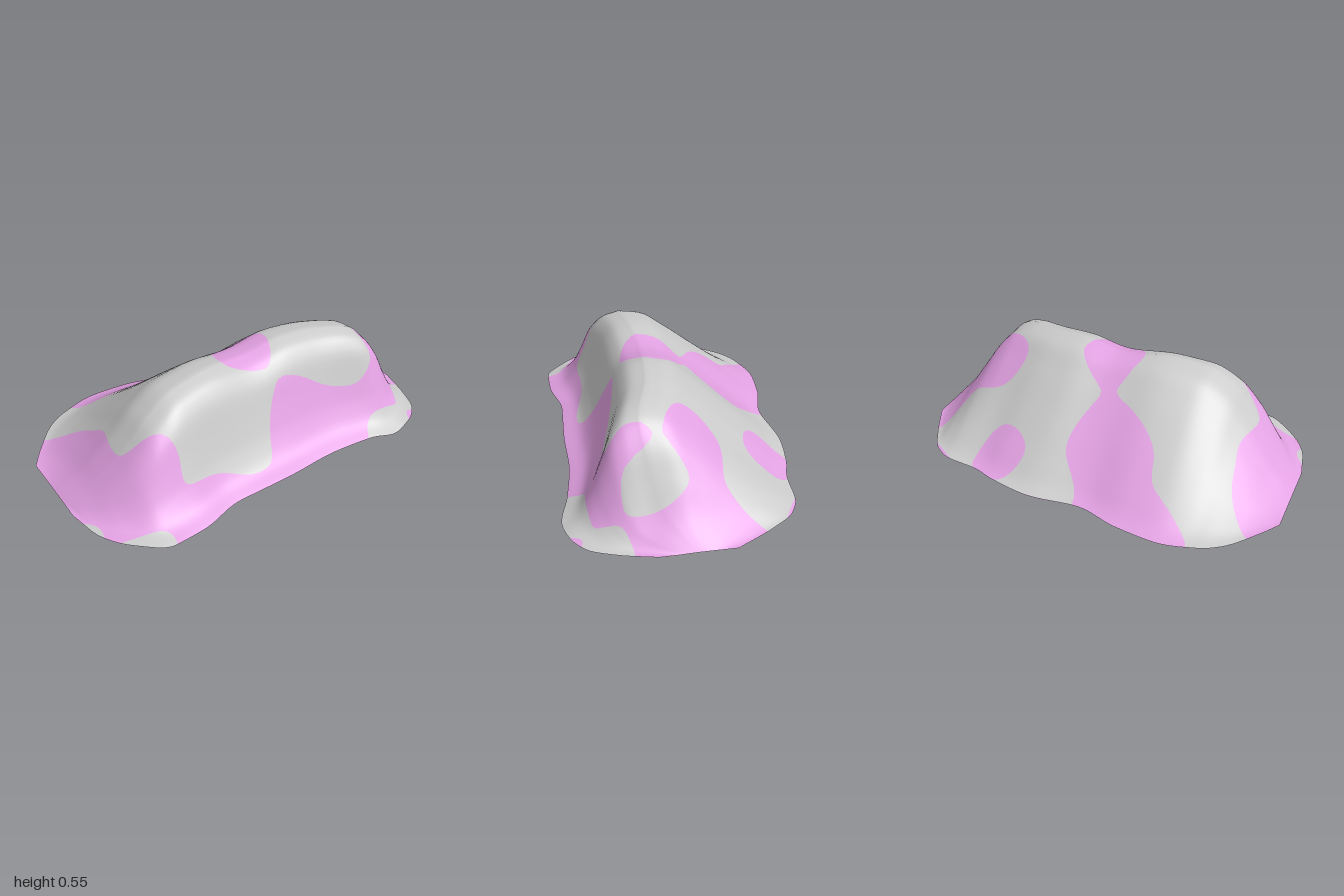
import * as THREE from 'three';

// Smooth lookup through [x, y] points (cubic Hermite with clamped slopes).
function curve(points) {
  const n = points.length;
  const step = (i) => (points[i + 1][1] - points[i][1]) / (points[i + 1][0] - points[i][0]);
  const slope = points.map((_, i) => {
    if (i === 0) return step(0);
    if (i === n - 1) return step(n - 2);
    const a = step(i - 1), b = step(i);
    return a * b <= 0 ? 0 : (2 * a * b) / (a + b);
  });
  return (x) => {
    let i = 0;
    while (i < n - 2 && x > points[i + 1][0]) i++;
    const [x0, y0] = points[i], [x1, y1] = points[i + 1];
    const w = x1 - x0, t = THREE.MathUtils.clamp((x - x0) / w, 0, 1);
    const t2 = t * t, t3 = t2 * t;
    return (2 * t3 - 3 * t2 + 1) * y0 + (t3 - 2 * t2 + t) * w * slope[i]
      + (3 * t2 - 2 * t3) * y1 + (t3 - t2) * w * slope[i + 1];
  };
}

// Plan outline, back and front edges along x.
const backZ = curve([[-1, -0.25], [-0.93, -0.35], [-0.8, -0.5], [-0.7, -0.56], [-0.5, -0.61],
  [-0.3, -0.595], [-0.08, -0.545], [0.2, -0.575], [0.4, -0.55], [0.55, -0.51], [0.7, -0.5],
  [0.81, -0.45], [0.9, -0.33], [1, -0.15]]);
const frontZ = curve([[-1, 0.17], [-0.96, 0.35], [-0.85, 0.5], [-0.7, 0.6], [-0.55, 0.595],
  [-0.3, 0.54], [0, 0.545], [0.25, 0.535], [0.52, 0.56], [0.68, 0.595], [0.8, 0.57],
  [0.9, 0.5], [0.96, 0.36], [1, 0.2]]);
// Crest: where it lies and how high it stands.
const crestZ = curve([[-1, 0], [-0.85, 0.13], [-0.65, 0.2], [-0.4, 0.17], [0, 0.13],
  [0.35, 0.15], [0.65, 0.22], [0.85, 0.16], [1, 0.04]]);
const crestY = curve([[-1, 0.02], [-0.9, 0.1], [-0.8, 0.21], [-0.7, 0.33], [-0.6, 0.44],
  [-0.45, 0.52], [-0.25, 0.54], [0, 0.515], [0.22, 0.55], [0.5, 0.53], [0.62, 0.5],
  [0.72, 0.42], [0.8, 0.3], [0.9, 0.14], [1, 0.02]]);
// Share of the height across the long back slope and the steep, flared front.
const backRise = curve([[0, 0], [0.06, 0.03], [0.2, 0.18], [0.45, 0.49], [0.7, 0.8],
  [0.86, 0.965], [1, 1]]);
const frontFall = curve([[0, 1], [0.2, 0.95], [0.35, 0.82], [0.5, 0.51], [0.62, 0.28],
  [0.8, 0.08], [1, 0]]);

const bump = (dx, dy, dz, r) => Math.exp(-(dx * dx + dy * dy + dz * dz) / (r * r));

// Point of the mound: x along its length, v from -1 (back edge) to 1 (front edge).
function surface(x, v) {
  const crest = crestZ(x);
  const z = v < 0 ? THREE.MathUtils.lerp(crest, backZ(x), -v) : THREE.MathUtils.lerp(crest, frontZ(x), v);
  const share = v < 0 ? backRise(1 + v) : frontFall(v);
  let y = 0.018 + (crestY(x) - 0.018) * share;
  y -= 0.05 * share * bump(x - 0.84, 0, z - 0.24, 0.12); // gully on the end
  y += 0.05 * share * bump(x - 0.68, 0, z - 0.44, 0.09); // buttress beside it
  y -= 0.015 * bump(x - 0.68, 0, z - 0.59, 0.08); // toe touching the ground
  return new THREE.Vector3(x, y, z);
}

// Patches where the tinted skin shows (+1) or sinks under the grey (-1): x, y, z, radius, sign.
const patches = [
  [-0.27, 0.33, 0.36, 0.25, -1], [0.18, 0.2, 0.38, 0.2, 1], [0.4, 0.12, 0.43, 0.17, 1],
  [0.45, 0.4, 0.33, 0.16, -1], [-0.65, 0.3, 0.35, 0.12, 1], [-0.4, 0.06, 0.5, 0.16, 1],
  [0.7, 0.2, 0.46, 0.1, 1], [-0.15, 0.22, -0.32, 0.24, 1], [0.3, 0.3, -0.2, 0.27, -1],
  [-0.62, 0.12, -0.4, 0.17, -1], [-0.4, 0.35, -0.05, 0.22, -1], [0, 0.47, 0.08, 0.13, 1],
  [0.62, 0.3, 0, 0.13, 1], [0.45, 0.15, -0.42, 0.14, 1], [0.68, 0.12, -0.33, 0.14, -1],
  [-0.88, 0.12, 0.1, 0.17, 1], [-0.85, 0.1, -0.2, 0.13, 1], [0.92, 0.1, 0.05, 0.16, 1],
  [0.8, 0.25, 0.2, 0.11, -1], [0.68, 0.04, 0.56, 0.09, -1], [-0.7, 0.45, 0.15, 0.14, -1],
  [0.3, 0.53, 0.2, 0.14, -1], [-0.45, 0.05, -0.58, 0.15, 1], [0.15, 0.04, -0.55, 0.14, -1],
];

function tintOffset(p) {
  let sum = 0;
  for (const [x, y, z, r, sign] of patches) sum += sign * bump(p.x - x, p.y - y, p.z - z, r);
  sum += 0.25 * Math.sin(9 * p.x + 5 * p.z) * Math.sin(11 * p.z - 4 * p.x + 1);
  return 0.004 * THREE.MathUtils.clamp(sum, -1, 1);
}

// Open shell lofted from cross-sections along x.
function shell(name, color, offset) {
  const nu = 96, nv = 56, positions = [], index = [];
  for (let i = 0; i <= nu; i++) {
    const x = Math.sin((i / nu - 0.5) * Math.PI * 0.8) / Math.sin(Math.PI * 0.4);
    for (let j = 0; j <= nv; j++) {
      const p = surface(x, (2 * j) / nv - 1);
      positions.push(p.x, Math.max(0, p.y + offset(p)), p.z);
      if (i < nu && j < nv) {
        const a = i * (nv + 1) + j, b = a + nv + 1;
        index.push(a, a + 1, b, b, a + 1, b + 1);
      }
    }
  }
  const geometry = new THREE.BufferGeometry();
  geometry.setAttribute('position', new THREE.Float32BufferAttribute(positions, 3));
  geometry.setIndex(index);
  geometry.computeVertexNormals();
  const mesh = new THREE.Mesh(geometry, new THREE.MeshStandardMaterial({ color, side: THREE.DoubleSide }));
  mesh.name = name;
  return mesh;
}

export function createModel() {
  const group = new THREE.Group();
  group.name = 'moundShell';
  group.add(shell('greySkin', 0xcccccc, () => 0));
  group.add(shell('tintedSkin', 0xe3a2e3, tintOffset));
  return group;
}
